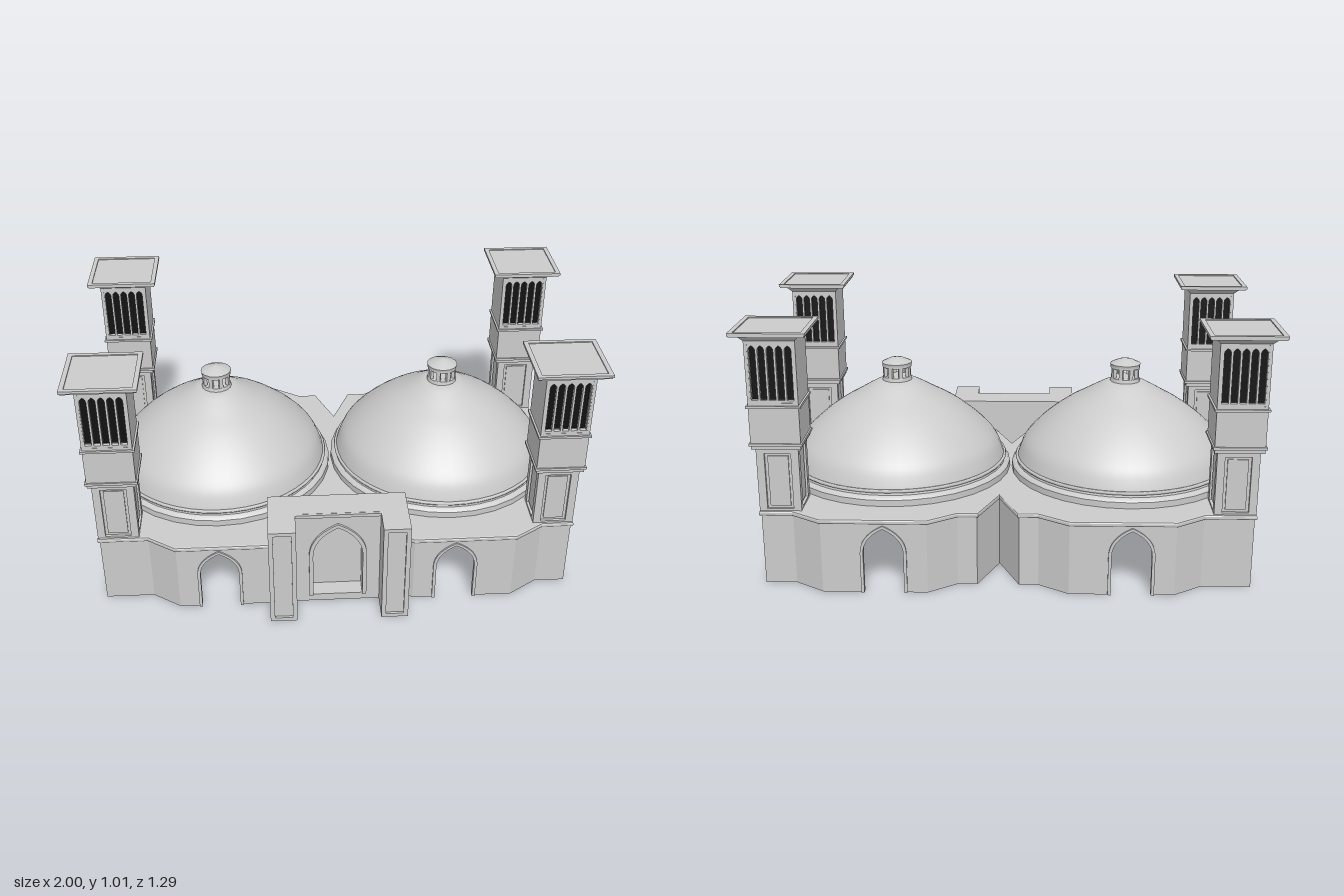
import * as THREE from 'three';

const grey = new THREE.MeshStandardMaterial({ color: 0xcccccc, side: THREE.DoubleSide });
const dark = new THREE.MeshStandardMaterial({ color: 0x111111 });

function add(parent, name, geometry, x = 0, y = 0, z = 0, material = grey) {
  const mesh = new THREE.Mesh(geometry, material);
  mesh.name = name;
  mesh.position.set(x, y, z);
  parent.add(mesh);
  return mesh;
}
const box = (w, h, d) => new THREE.BoxGeometry(w, h, d);
const extrude = (shape, depth) => new THREE.ExtrudeGeometry(shape, { depth, bevelEnabled: false, curveSegments: 10 });
const poly = (pts) => new THREE.Shape(pts.map(([x, y]) => new THREE.Vector2(x, y)));
const rect = (w, y0, y1, x = 0) => poly([[x - w / 2, y0], [x + w / 2, y0], [x + w / 2, y1], [x - w / 2, y1]]);

// Pointed arch: half width r, from y0, springing at s, apex at h
function arch(r, y0, s, h, x = 0) {
  const a = new THREE.Shape();
  const k = s + (h - s) * 0.65;
  a.moveTo(x - r, y0);
  a.lineTo(x - r, s);
  a.quadraticCurveTo(x - r, k, x, h);
  a.quadraticCurveTo(x + r, k, x + r, s);
  a.lineTo(x + r, y0);
  return a;
}
function withHole(outer, ...holes) {
  outer.holes.push(...holes);
  return outer;
}
// Arch band, open at the foot
function archBand(r, y0, s, h, t) {
  const inner = arch(r, y0, s, h).getPoints(10).reverse();
  const outer = arch(r + t, y0, s, h + t).getPoints(10);
  return new THREE.Shape([...outer, ...inner]);
}

// Plan of the building, as x, z, running front left to right and back again
const LOBES = [-0.47, 0.465];
const front = (c) => [[c - 0.275, 0.46], [c - 0.165, 0.535], [c + 0.235, 0.535], [c + 0.35, 0.46]];
const back = (c) => [[c + 0.35, -0.565], [c + 0.235, -0.64], [c - 0.165, -0.64], [c - 0.275, -0.565]];
const PLAN = [
  [-0.935, 0.46], ...front(LOBES[0]), [-0.1, 0.46], [0, 0.22], [0.1, 0.46], ...front(LOBES[1]), [0.935, 0.46],
  [0.935, -0.565], ...back(LOBES[1]), [0.115, -0.565], [0.035, -0.375], [-0.045, -0.565], ...back(LOBES[0]), [-0.935, -0.565],
];

function makeBase() {
  const g = new THREE.Group();
  g.name = 'base';
  PLAN.forEach(([x0, z0], i) => {
    const [x1, z1] = PLAN[(i + 1) % PLAN.length];
    const len = Math.hypot(x1 - x0, z1 - z0);
    const wall = new THREE.Group();
    wall.name = 'wallSection';
    wall.position.set((x0 + x1) / 2, 0, (z0 + z1) / 2);
    wall.rotation.y = Math.atan2(z0 - z1, x1 - x0);
    g.add(wall);
    // The long straight sections carry a pointed doorway
    const hasDoor = Math.abs(len - 0.4) < 0.001 && z0 === z1;
    const off = z0 > 0 ? -0.035 : 0.035;
    const door = hasDoor ? arch(0.076, 0, 0.16, 0.262, off).getPoints(10).map((p) => [p.x, p.y]) : [];
    const shape = poly([[-len / 2, 0], ...door, [len / 2, 0], [len / 2, 0.285], [-len / 2, 0.285]]);
    add(wall, 'wall', extrude(shape, 0.015), 0, 0, -0.015);
    if (hasDoor) add(wall, 'doorFrame', extrude(archBand(0.076, 0, 0.16, 0.262, 0.012), 0.02), off, 0, -0.013);
  });
  // Roof slab with a rounded cornice edge
  const slab = new THREE.ExtrudeGeometry(poly(PLAN.map(([x, z]) => [x, -z])), {
    depth: 0.008, bevelThickness: 0.006, bevelSize: 0.008, bevelSegments: 2,
  });
  slab.rotateX(-Math.PI / 2);
  add(g, 'roof', slab, 0, 0.286, 0);
  return g;
}

function makeDome(x) {
  const g = new THREE.Group();
  g.name = 'dome';
  g.position.set(x, 0, -0.055);
  const lathe = (pts, n) => new THREE.LatheGeometry(pts.map(([r, y]) => new THREE.Vector2(r, y)), n);
  // Stepped ring, then the shell
  add(g, 'domeRing', lathe([[0.463, 0.295], [0.463, 0.325], [0.463, 0.325], [0.455, 0.335], [0.443, 0.338]], 32));
  add(g, 'domeMoulding', new THREE.TorusGeometry(0.441, 0.007, 6, 48).rotateX(Math.PI / 2), 0, 0.354, 0);
  const curve = new THREE.SplineCurve([[0.443, 0.335], [0.432, 0.375], [0.408, 0.43], [0.36, 0.485], [0.3, 0.538],
    [0.235, 0.585], [0.17, 0.623], [0.11, 0.658], [0.07, 0.676], [0, 0.682]].map(([r, y]) => new THREE.Vector2(r, y)));
  add(g, 'domeShell', new THREE.LatheGeometry(curve.getPoints(36), 48));
  // Open lantern on the crown
  add(g, 'lanternBase', new THREE.CylinderGeometry(0.058, 0.062, 0.02, 16), 0, 0.682, 0);
  for (let i = 0; i < 8; i++) {
    const a = ((i + 0.5) / 8) * Math.PI * 2;
    const post = add(g, 'lanternPost', box(0.016, 0.055, 0.014), Math.sin(a) * 0.05, 0.715, Math.cos(a) * 0.05);
    post.rotation.y = a;
  }
  add(g, 'lanternRing', new THREE.CylinderGeometry(0.06, 0.06, 0.01, 16), 0, 0.738, 0);
  add(g, 'lanternRoof', lathe([[0, 0.741], [0.06, 0.741], [0.06, 0.741], [0.062, 0.75], [0.062, 0.75], [0.03, 0.765], [0, 0.772]], 16));
  return g;
}

function makeTower(x, z) {
  const g = new THREE.Group();
  g.name = 'windTower';
  g.position.set(x, 0, z);
  // Lower shaft with a sunk panel on each face
  add(g, 'lowerShaft', box(0.138, 0.27, 0.138), 0, 0.425, 0);
  for (let i = 0; i < 4; i++) {
    const face = new THREE.Group();
    face.name = 'lowerFace';
    face.rotation.y = (i * Math.PI) / 2;
    g.add(face);
    add(face, 'panelFrame', extrude(withHole(rect(0.16, 0.295, 0.556), rect(0.1, 0.308, 0.53)), 0.013), 0, 0, 0.067);
    add(face, 'panel', box(0.078, 0.2, 0.008), 0, 0.419, 0.07);
  }
  // Middle shaft and string courses
  add(g, 'middleShaft', box(0.188, 0.165, 0.188), 0, 0.65, 0);
  for (const [y, w, h] of [[0.557, 0.186, 0.014], [0.57, 0.2, 0.01], [0.717, 0.203, 0.009]]) add(g, 'stringCourse', box(w, h, w), 0, y, 0);
  // Upper shaft: plain sides, slotted front and back
  for (const s of [-1, 1]) {
    add(g, 'sideWall', box(0.012, 0.25, 0.188), s * 0.088, 0.845, 0);
    const slots = [-2, -1, 0, 1, 2].map((i) => arch(0.0125, 0.742, 0.93, 0.949, i * 0.033));
    const screen = withHole(rect(0.188, 0.72, 0.97), ...slots);
    add(g, 'slottedScreen', extrude(screen, 0.016), 0, 0, s > 0 ? 0.077 : -0.093);
  }
  add(g, 'shaftInterior', box(0.166, 0.24, 0.12), 0, 0.845, 0, dark);
  // Flared neck and overhanging cap with a raised rim
  const flare = new THREE.CylinderGeometry(0.115 * Math.SQRT2, 0.094 * Math.SQRT2, 0.022, 4).rotateY(Math.PI / 4).toNonIndexed();
  flare.computeVertexNormals();
  add(g, 'neck', flare, 0, 0.979, 0);
  add(g, 'cap', box(0.272, 0.012, 0.272), 0, 0.996, 0);
  const rim = withHole(rect(0.28, -0.14, 0.14), rect(0.244, -0.122, 0.122));
  add(g, 'capRim', extrude(rim, 0.01).rotateX(-Math.PI / 2), 0, 0.996, 0);
  return g;
}

function makePortal() {
  const g = new THREE.Group();
  g.name = 'portal';
  g.position.x = -0.003;
  add(g, 'portalBack', box(0.54, 0.436, 0.05), 0, 0.218, 0.435);
  const niche = withHole(rect(0.34, 0, 0.436), arch(0.098, 0.032, 0.23, 0.37));
  add(g, 'nicheWall', extrude(niche, 0.07), 0, 0, 0.46);
  add(g, 'nicheFrame', extrude(archBand(0.098, 0.032, 0.23, 0.37, 0.016), 0.012), 0, 0, 0.528);
  add(g, 'lintel', box(0.34, 0.014, 0.012), 0, 0.428, 0.534);
  // Projecting piers with framed fronts
  for (const s of [-1, 1]) {
    add(g, 'pier', box(0.106, 0.436, 0.225), s * 0.219, 0.218, 0.5225);
    add(g, 'pierFrame', extrude(withHole(rect(0.106, 0, 0.436), rect(0.07, 0.016, 0.42)), 0.011), s * 0.219, 0, 0.634);
  }
  return g;
}

export function createModel() {
  const model = new THREE.Group();
  model.name = 'domedCistern';
  model.add(makeBase(), makePortal());
  for (const x of LOBES) model.add(makeDome(x));
  for (const x of [-0.86, 0.86]) for (const z of [0.38, -0.485]) model.add(makeTower(x, z));
  return model;
}
